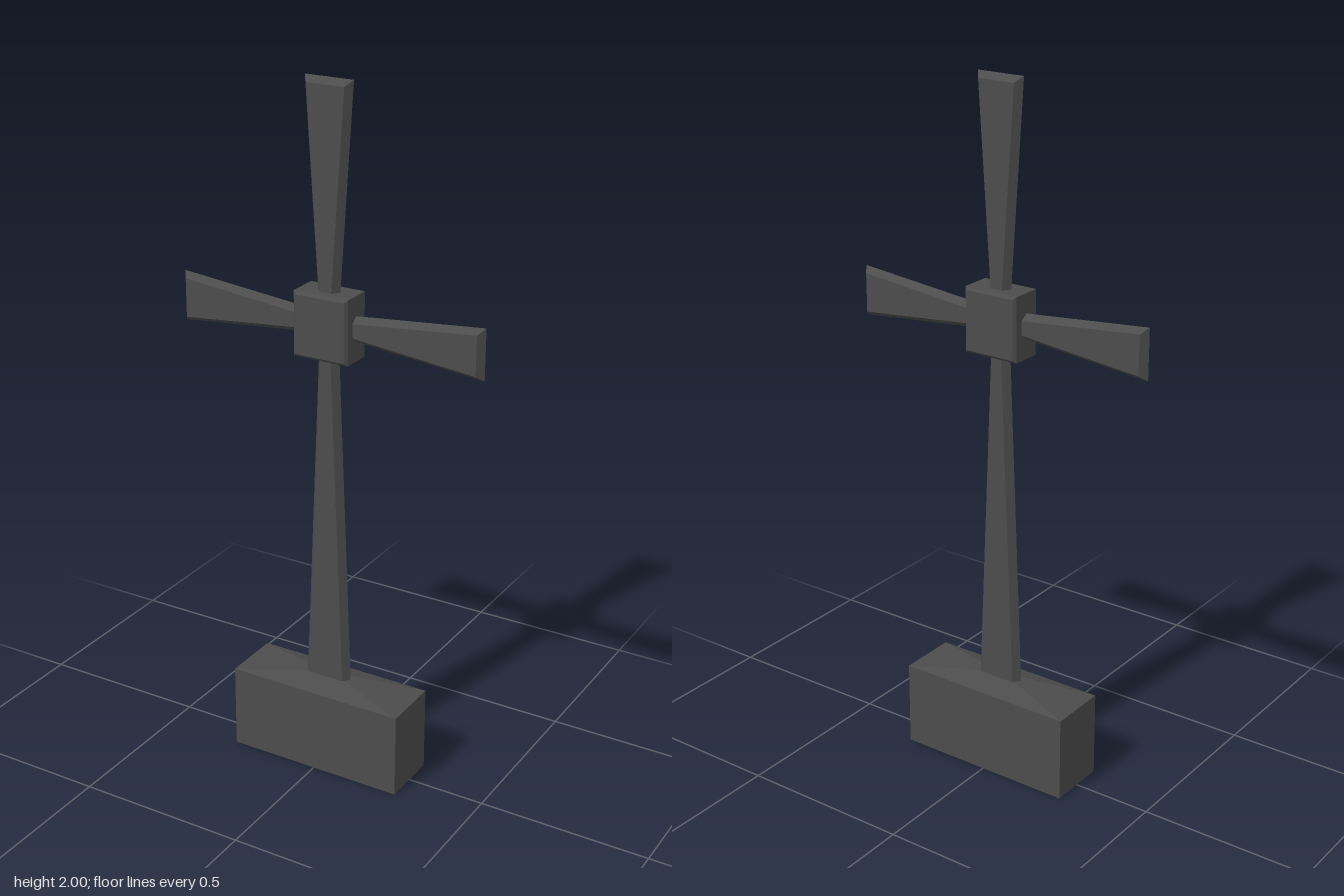
import * as THREE from 'three';

const material = new THREE.MeshStandardMaterial({ color: 0x4c4c4c, flatShading: true });
const HUB_Y = 1.342;

// Trapezoid section at height z: half widths w0 at y0 and w1 at y1, counterclockwise.
const section = (w0, w1, y0, y1, z) => [[-w0, y0, z], [w0, y0, z], [w1, y1, z], [-w1, y1, z]];

// Closed solid through four-cornered sections stacked along +z.
function loft(sections) {
  const positions = sections.flat(2);
  const last = (sections.length - 1) * 4;
  const index = [0, 2, 1, 0, 3, 2, last, last + 1, last + 2, last, last + 2, last + 3];
  for (let s = 0; s < last; s += 4) {
    for (let i = 0; i < 4; i++) {
      const a = s + i, b = s + (i + 1) % 4;
      index.push(a, b, b + 4, a, b + 4, a + 4);
    }
  }
  const indexed = new THREE.BufferGeometry();
  indexed.setAttribute('position', new THREE.Float32BufferAttribute(positions, 3));
  indexed.setIndex(index);
  const geometry = indexed.toNonIndexed();
  geometry.computeVertexNormals();
  return geometry;
}

// Flaring blade pointing along +y from the hub, bevelled to an edge all round.
function blade(length, endBevel = 0.016) {
  const d = 0.021, inner = 0.028, outer = 0.072, side = 0.016;
  const face = z => section(inner - side, outer - side, 0, length - endBevel, z);
  return loft([face(-d), section(inner, outer, 0, length, 0), face(d)]);
}

export function createModel() {
  const group = new THREE.Group();
  const add = (name, geometry, y = 0, turn = 0) => {
    const mesh = new THREE.Mesh(geometry, material);
    mesh.name = name;
    mesh.position.y = y;
    mesh.rotation.z = turn;
    group.add(mesh);
  };

  // Block base with a shallow sloped top rising to the shaft
  const rect = (w, d, h) => section(w, w, -d, d, h);
  add('base', loft([rect(0.268, 0.088, 0), rect(0.268, 0.088, 0.25), rect(0.072, 0.021, 0.272)])
    .rotateX(-Math.PI / 2));

  // Chamfered hub block where the four blades meet
  const c = 0.008;
  const hub = [[0.083 - c, 0.092 - c, -0.052], [0.083, 0.092, -0.052 + c],
    [0.083, 0.092, 0.052 - c], [0.083 - c, 0.092 - c, 0.052]];
  add('hub', loft(hub.map(([w, h, z]) => rect(w, h, z))), HUB_Y);

  // Blades of the cross
  add('shaft', blade(HUB_Y - 0.26, 0), HUB_Y, Math.PI);
  add('topArm', blade(2 - HUB_Y), HUB_Y);
  add('leftArm', blade(0.462), HUB_Y, -Math.PI / 2);
  add('rightArm', blade(0.462), HUB_Y, Math.PI / 2);

  return group;
}
